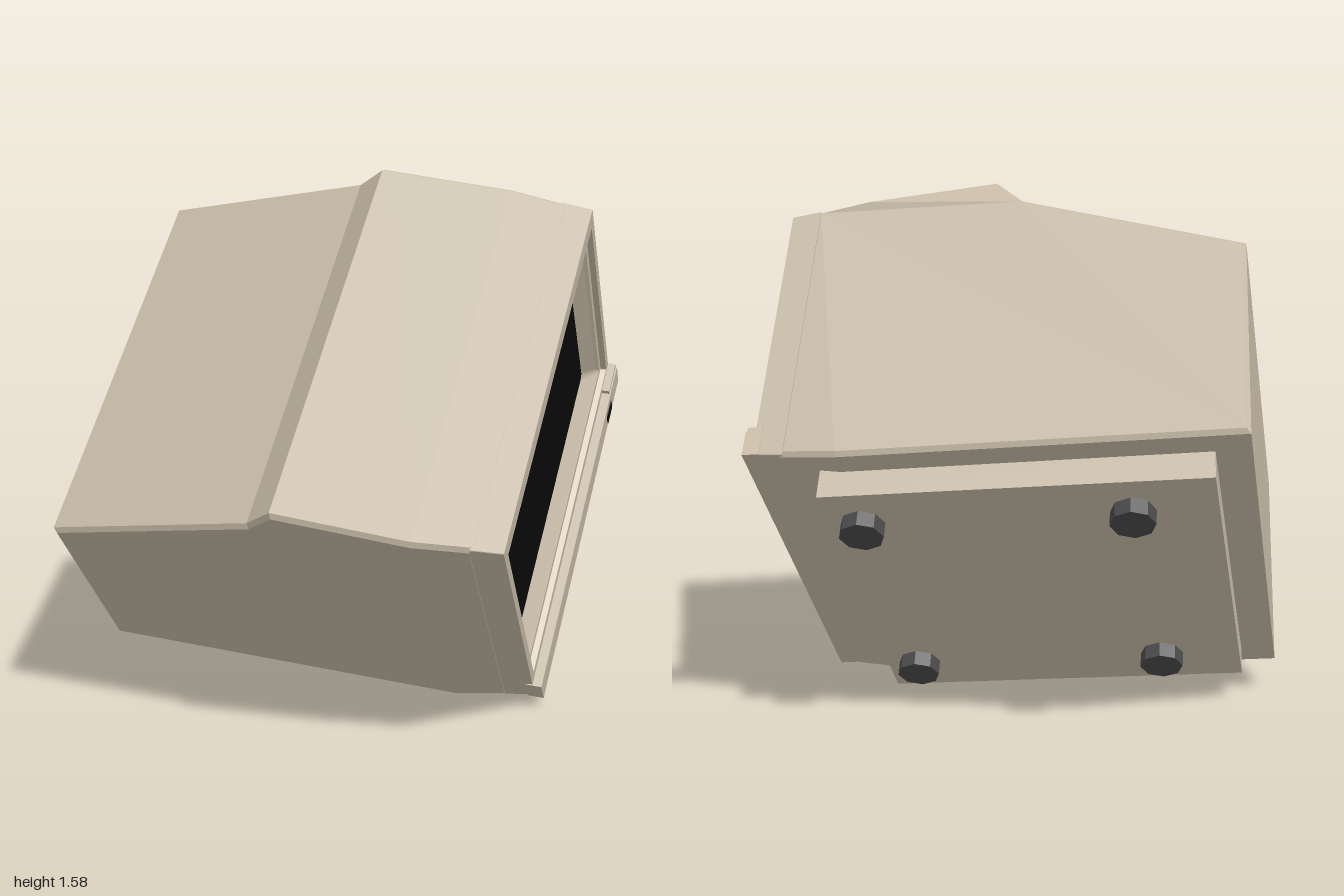
import * as THREE from 'three';

const mat = (color) => new THREE.MeshStandardMaterial({ color, flatShading: true });
const shell = mat(0xc8bca8);
const dark = mat(0x4a4a4a);
const black = mat(0x0a0a0a);

function add(parent, name, geometry, material) {
  const mesh = new THREE.Mesh(geometry, material);
  mesh.name = name;
  parent.add(mesh);
  return mesh;
}

// Box given by its limits on each axis
function block(parent, name, x0, x1, y0, y1, z0, z1, material) {
  const mesh = add(parent, name, new THREE.BoxGeometry(x1 - x0, y1 - y0, z1 - z0), material);
  mesh.position.set((x0 + x1) / 2, (y0 + y1) / 2, (z0 + z1) / 2);
  return mesh;
}

// Rounded rectangle loop, counterclockwise from the front
function loop([half, y0, y1, z, r]) {
  const points = [];
  const corners = [[half - r, y0 + r, -90], [half - r, y1 - r, 0], [r - half, y1 - r, 90], [r - half, y0 + r, 180]];
  for (const [cx, cy, start] of corners) {
    for (let k = 0; k <= 3; k++) {
      const a = THREE.MathUtils.degToRad(start + k * 30);
      points.push([cx + r * Math.cos(a), cy + r * Math.sin(a), z]);
    }
  }
  return points;
}

// Skin between successive loops
function loft(rings) {
  const loops = rings.map(loop);
  const pos = [];
  for (let s = 0; s < loops.length - 1; s++) {
    const a = loops[s], b = loops[s + 1];
    for (let i = 0; i < a.length; i++) {
      const j = (i + 1) % a.length;
      pos.push(...a[i], ...a[j], ...b[j], ...a[i], ...b[j], ...b[i]);
    }
  }
  const g = new THREE.BufferGeometry();
  g.setAttribute('position', new THREE.Float32BufferAttribute(pos, 3));
  g.computeVertexNormals();
  return g;
}

// Side profile extruded across the width, then narrowed toward the front
function housingGeometry() {
  const profile = [[0.5, 0.118], [0.335, 0.093], [-0.793, 0.097], [-0.793, 0.772],
    [-0.135, 1.004], [-0.053, 1.086], [0.335, 1.05], [0.5, 1.035]];
  const shape = new THREE.Shape(profile.map(([z, y]) => new THREE.Vector2(z, y)));
  const bevel = 0.012, width = 1.206;
  const g = new THREE.ExtrudeGeometry(shape, {
    depth: width - 2 * bevel, bevelEnabled: true, bevelSegments: 1,
    bevelThickness: bevel, bevelSize: bevel, bevelOffset: -bevel,
  });
  g.translate(0, 0, -(width / 2 - bevel));
  g.rotateY(-Math.PI / 2);
  const p = g.attributes.position;
  for (let i = 0; i < p.count; i++) {
    const t = Math.max(0, (p.getZ(i) - 0.335) / 0.245);
    p.setX(i, p.getX(i) * (1 - 0.05 * t));
  }
  g.computeVertexNormals();
  return g;
}

export function createModel() {
  const model = new THREE.Group();
  model.name = 'displayMonitor';

  add(model, 'housing', housingGeometry(), shell);

  // Stepped bezel: half width, bottom, top, depth, corner radius
  add(model, 'bezel', loft([
    [0.582, 0.118, 1.035, 0.49, 0.004],
    [0.573, 0.13, 1.028, 0.58, 0.004],
    [0.545, 0.235, 0.975, 0.58, 0.004],
    [0.54, 0.24, 0.97, 0.563, 0.004],
    [0.52, 0.26, 0.95, 0.563, 0.006],
    [0.51, 0.27, 0.94, 0.555, 0.012],
    [0.455, 0.316, 0.884, 0.522, 0.02],
  ]), shell);
  block(model, 'screen', -0.456, 0.456, 0.315, 0.885, 0.505, 0.523, black);

  // Control strip under the screen
  block(model, 'controlStrip', -0.577, 0.577, 0.128, 0.207, 0.56, 0.608, shell);
  block(model, 'powerButton', 0.47, 0.577, 0.2, 0.222, 0.56, 0.604, shell);
  block(model, 'indicator', 0.4, 0.462, 0.14, 0.182, 0.59, 0.611, black);

  // Base plate with four octagonal feet
  block(model, 'basePlate', -0.522, 0.522, 0.011, 0.11, -0.694, 0.395, shell);
  for (const x of [-0.385, 0.385]) {
    for (const z of [-0.46, 0.295]) {
      const foot = add(model, 'foot', new THREE.CylinderGeometry(0.064, 0.064, 0.05, 8), dark);
      foot.position.set(x, -0.01, z);
    }
  }

  // Whole monitor lies tilted in space
  const right = new THREE.Vector3(0.468, 0.739, -0.486);
  const up = new THREE.Vector3(-0.418, 0.669, 0.615);
  const front = new THREE.Vector3(0.779, -0.085, 0.621);
  model.quaternion.setFromRotationMatrix(new THREE.Matrix4().makeBasis(right, up, front));
  model.position.copy(right).multiplyScalar(0.567);

  const group = new THREE.Group();
  group.name = 'tiltedMonitor';
  group.add(model);
  return group;
}
